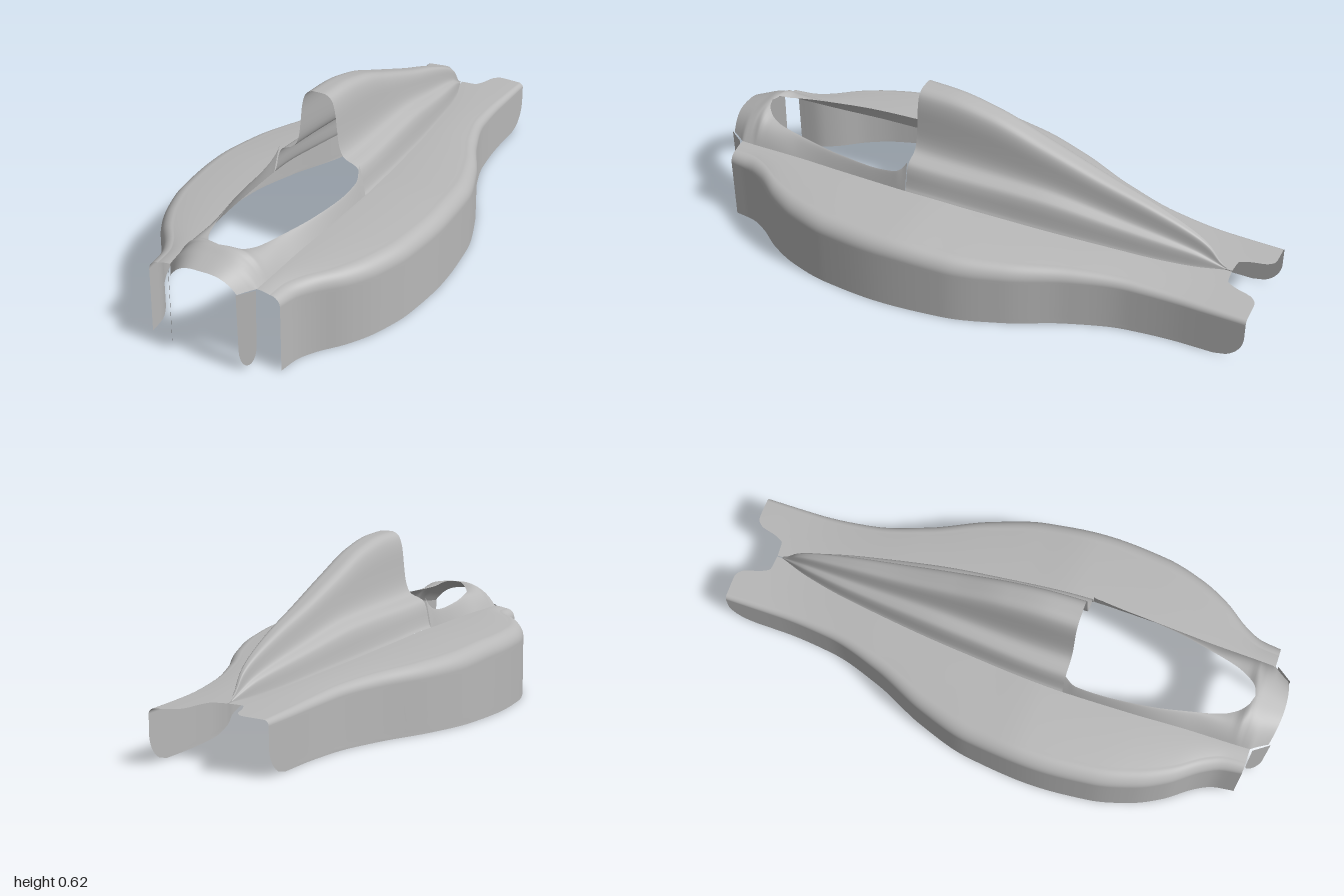
import * as THREE from 'three';

// Monotone smooth curve through [z, value] points
function curve(pts) {
  const n = pts.length;
  const d = [];
  for (let i = 0; i < n - 1; i++) d.push((pts[i + 1][1] - pts[i][1]) / (pts[i + 1][0] - pts[i][0]));
  const slope = (i) => {
    if (i === 0) return d[0];
    if (i === n - 1) return d[n - 2];
    return d[i - 1] * d[i] <= 0 ? 0 : (2 * d[i - 1] * d[i]) / (d[i - 1] + d[i]);
  };
  return (z) => {
    if (z <= pts[0][0]) return pts[0][1];
    if (z >= pts[n - 1][0]) return pts[n - 1][1];
    let i = 0;
    while (z > pts[i + 1][0]) i++;
    const h = pts[i + 1][0] - pts[i][0];
    const t = (z - pts[i][0]) / h;
    const t2 = t * t, t3 = t2 * t;
    return (2 * t3 - 3 * t2 + 1) * pts[i][1] + (t3 - 2 * t2 + t) * h * slope(i)
      + (3 * t2 - 2 * t3) * pts[i + 1][1] + (t3 - t2) * h * slope(i + 1);
  };
}

// Grid surface; u runs towards +x, v towards +z, so the normals face outward
function patch(cols, rows, fn) {
  const pos = [], idx = [];
  for (let j = 0; j <= rows; j++) for (let i = 0; i <= cols; i++) pos.push(...fn(i / cols, j / rows));
  for (let j = 0; j < rows; j++) {
    for (let i = 0; i < cols; i++) {
      const a = j * (cols + 1) + i, b = a + cols + 1;
      idx.push(a, b, a + 1, a + 1, b, b + 1);
    }
  }
  const g = new THREE.BufferGeometry();
  g.setAttribute('position', new THREE.Float32BufferAttribute(pos, 3));
  g.setIndex(idx);
  g.computeVertexNormals();
  return g;
}

// Same surface on either side of the centre line
const sidePatch = (side, cols, rows, fn) => patch(cols, rows, (u, v) => {
  const [x, y, z] = fn(side > 0 ? u : 1 - u, v);
  return [side * x, y, z];
});

// Outline and heights along the length
const halfWidth = curve([[-1, 0.208], [-0.8, 0.209], [-0.6, 0.226], [-0.4, 0.285], [-0.2, 0.375], [0, 0.434],
  [0.25, 0.455], [0.45, 0.44], [0.6, 0.4], [0.7, 0.35], [0.8, 0.276], [0.86, 0.248], [0.93, 0.238]]);
const deckY = curve([[-1, 0.182], [-0.8, 0.19], [-0.4, 0.228], [0, 0.262], [0.2, 0.276], [0.5, 0.278], [0.9, 0.272], [1, 0.27]]);
const cornerR = curve([[-1, 0.018], [-0.6, 0.03], [0, 0.055], [0.6, 0.055], [0.93, 0.035]]);
const humpX = curve([[-0.86, 0.002], [-0.75, 0.04], [-0.56, 0.083], [-0.13, 0.145], [0.26, 0.176], [0.5, 0.172],
  [0.7, 0.163], [0.93, 0.157], [0.95, 0.147], [1, 0.12]]);
const shoulderY = curve([[-0.86, 0.19], [-0.75, 0.245], [-0.5, 0.305], [-0.2, 0.36], [0.26, 0.39]]);
const finTopY = curve([[-0.86, 0.195], [-0.84, 0.21], [-0.8, 0.262], [-0.75, 0.298], [-0.6, 0.365], [-0.4, 0.435],
  [-0.2, 0.51], [0, 0.582], [0.15, 0.611], [0.26, 0.617]]);

// Cockpit opening edge and nose crown
const rimX = curve([[0.26, 0.152], [0.3, 0.163], [0.4, 0.16], [0.55, 0.146], [0.7, 0.116], [0.8, 0.09], [0.85, 0.064],
  [0.875, 0.04], [0.885, 0.022], [0.89, 0]]);
const rimY = curve([[0.26, 0.385], [0.28, 0.355], [0.31, 0.338], [0.4, 0.328], [0.5, 0.33], [0.7, 0.335], [0.8, 0.338],
  [0.85, 0.345], [0.89, 0.365], [0.93, 0.352], [1, 0.327]]);
const rimBulge = curve([[0.26, 1.2], [0.7, 1.4], [0.89, 3], [1, 3]]);

// Side pod: deck, rounded corner, then wall down to the ground
const rearNotch = curve([[0, -0.88], [0.055, -0.885], [0.075, -0.92], [0.09, -0.975], [0.115, -0.998], [0.13, -1]]);
function podSection(u, z) {
  const xb = humpX(z), w = halfWidth(z), r = cornerR(z), d = deckY(z);
  const drop = 0.012 * Math.min(1, w / 0.45 + 0.1);
  if (u <= 0.5) {
    const f = u / 0.5;
    return [xb + (w - r - xb) * f, d - drop * f * f];
  }
  if (u <= 0.75) {
    const a = ((u - 0.5) / 0.25) * Math.PI / 2;
    return [w - r + r * Math.sin(a), d - drop - r + r * Math.cos(a)];
  }
  return [w, (d - drop - r) * (1 - u) / 0.25];
}
function podPoint(u, v) {
  const [x0, y0] = podSection(u, -1);
  let start = rearNotch(x0);
  if (u > 0.75 && y0 < 0.1) start = -1 + 0.1 * (1 - Math.sqrt(1 - (1 - y0 / 0.1) ** 2));
  const z = start + (0.93 - start) * v;
  return [...podSection(u, z), z];
}

// Engine cowl section: [width share, height share], first base to shoulder (0..1), then fin (1..2)
const cowlProfile = new THREE.CatmullRomCurve3([
  [1, 0], [0.965, 0.1], [0.93, 0.32], [0.89, 0.63], [0.82, 0.85], [0.68, 0.96], [0.52, 1.05], [0.44, 1.2],
  [0.39, 1.48], [0.35, 1.75], [0.28, 1.92], [0.16, 1.99], [0, 2],
].map(([x, y]) => new THREE.Vector3(x, y, 0)), false, 'centripetal');
function cowlPoint(u, v) {
  const s = u * 2 - 1;
  const z = -0.86 + 1.12 * v;
  const p = cowlProfile.getPoint(1 - Math.abs(s));
  const d = deckY(z), sh = Math.max(d, shoulderY(z)), top = Math.max(sh, finTopY(z));
  const y = p.y < 1 ? d + (sh - d) * p.y : sh + (top - sh) * (p.y - 1);
  return [Math.sign(s) * p.x * humpX(z), y, z];
}

// Cockpit rim, closing into the nose arch
function rimPoint(u, v) {
  const z = 0.26 + 0.74 * v;
  const xb = humpX(z), xr = rimX(z), d = deckY(z);
  const x = xr + (xb - xr) * u;
  const y = d + (rimY(z) - d) * (1 - u ** rimBulge(z));
  return [x, y, z - (v > 0.9 ? (v - 0.9) * 1.2 * (x / 0.12) ** 2 * 0.12 : 0)];
}

export function createModel() {
  const group = new THREE.Group();
  const shellGrey = new THREE.MeshStandardMaterial({ color: 0xb8b8b8, side: THREE.DoubleSide });
  shellGrey.name = 'shellGrey';
  const add = (name, geometry) => {
    const mesh = new THREE.Mesh(geometry, shellGrey);
    mesh.name = name;
    group.add(mesh);
    return mesh;
  };

  add('engineCowl', patch(72, 90, cowlPoint));

  // Hanging mounting tab with a rounded tip
  const tab = new THREE.Shape();
  tab.moveTo(-0.033, 0.272);
  tab.lineTo(-0.03, 0.07);
  tab.bezierCurveTo(-0.026, -0.01, 0.026, -0.01, 0.03, 0.07);
  tab.lineTo(0.033, 0.272);
  const tabGeometry = new THREE.ShapeGeometry(tab, 16);

  for (const side of [1, -1]) {
    const label = side > 0 ? 'left' : 'right';
    add(label + 'SidePod', sidePatch(side, 64, 100, podPoint));
    add(label + 'CockpitRim', sidePatch(side, 16, 74, rimPoint));
    const mount = add(label + 'NoseTab', tabGeometry);
    mount.position.set(side * 0.14, 0, 0.966);
    mount.rotation.y = side * Math.atan2(0.055, 0.04);
  }
  return group;
}
